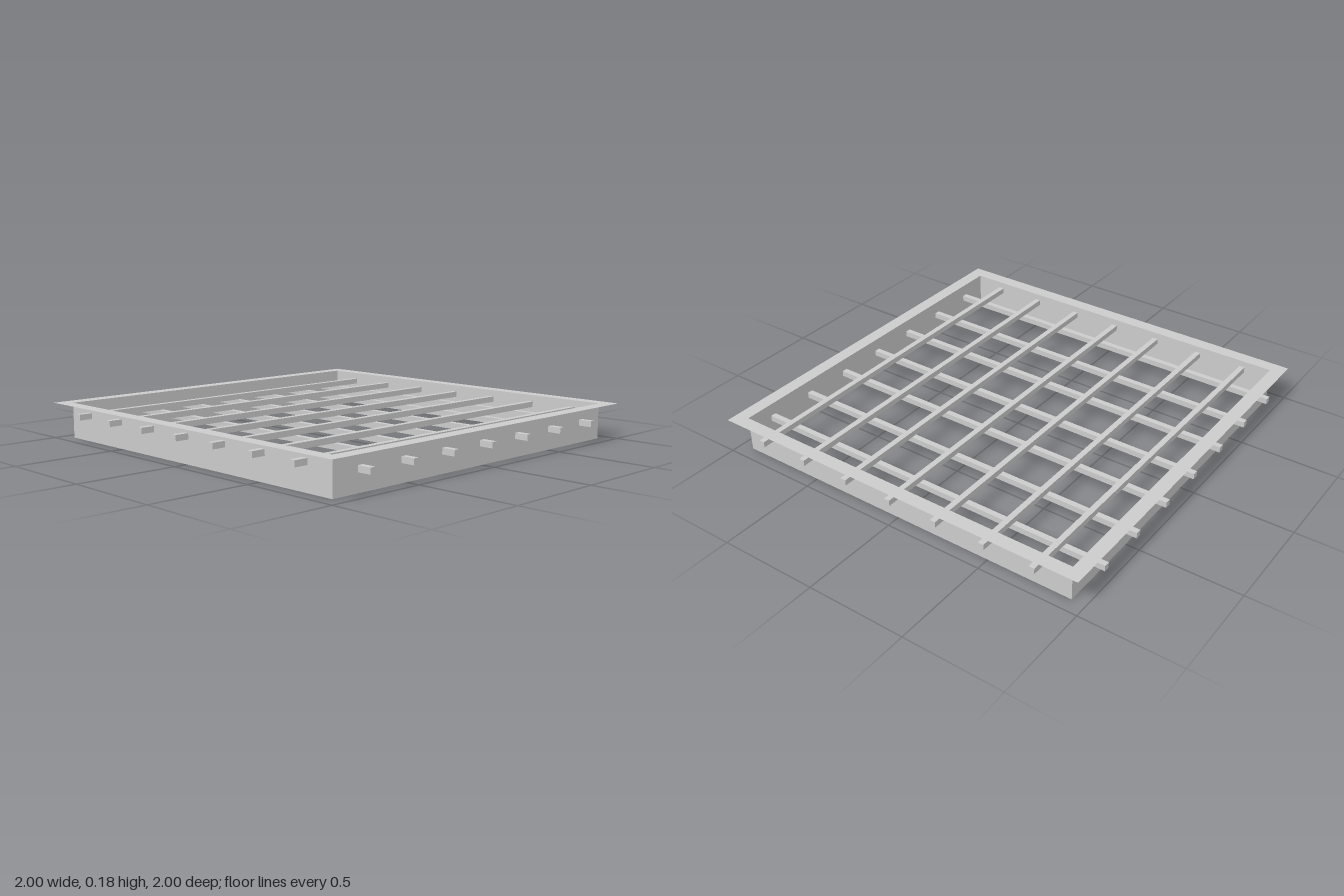
import * as THREE from 'three';

const HALF = 1, WALL = 0.931, HEIGHT = 0.178;
const BAR = 0.029, BARS = 7, PITCH = 0.2585;

export function createModel() {
  const group = new THREE.Group();
  const solid = new THREE.MeshStandardMaterial({ color: 0xcccccc, flatShading: true });
  const sheet = new THREE.MeshStandardMaterial({ color: 0xcccccc, flatShading: true, side: THREE.DoubleSide });

  const add = (name, geometry, material) => {
    const mesh = new THREE.Mesh(geometry, material);
    mesh.name = name;
    group.add(mesh);
    return mesh;
  };

  // Thin sheet walls around the four sides
  ['frontWall', 'leftWall', 'backWall', 'rightWall'].forEach((name, i) => {
    const wall = new THREE.PlaneGeometry(2 * WALL, HEIGHT);
    wall.translate(0, HEIGHT / 2, WALL).rotateY(i * Math.PI / 2);
    add(name, wall, sheet);
  });

  // Flat flange projecting outward from the top of the walls
  const square = (path, r) => path.moveTo(-r, -r).lineTo(r, -r).lineTo(r, r).lineTo(-r, r).closePath();
  const rim = square(new THREE.Shape(), HALF);
  rim.holes.push(square(new THREE.Path(), WALL));
  add('topFlange', new THREE.ShapeGeometry(rim).rotateX(-Math.PI / 2).translate(0, HEIGHT, 0), sheet);

  // Two stacked layers of square bars, passing through the walls
  const lowY = 0.101, highY = lowY + BAR;
  for (let i = 0; i < BARS; i++) {
    const offset = (i - (BARS - 1) / 2) * PITCH;
    add('lowerBar', new THREE.BoxGeometry(BAR, BAR, 2 * HALF), solid).position.set(offset, lowY, 0);
    add('upperBar', new THREE.BoxGeometry(2 * HALF, BAR, BAR), solid).position.set(0, highY, offset);
  }
  return group;
}
